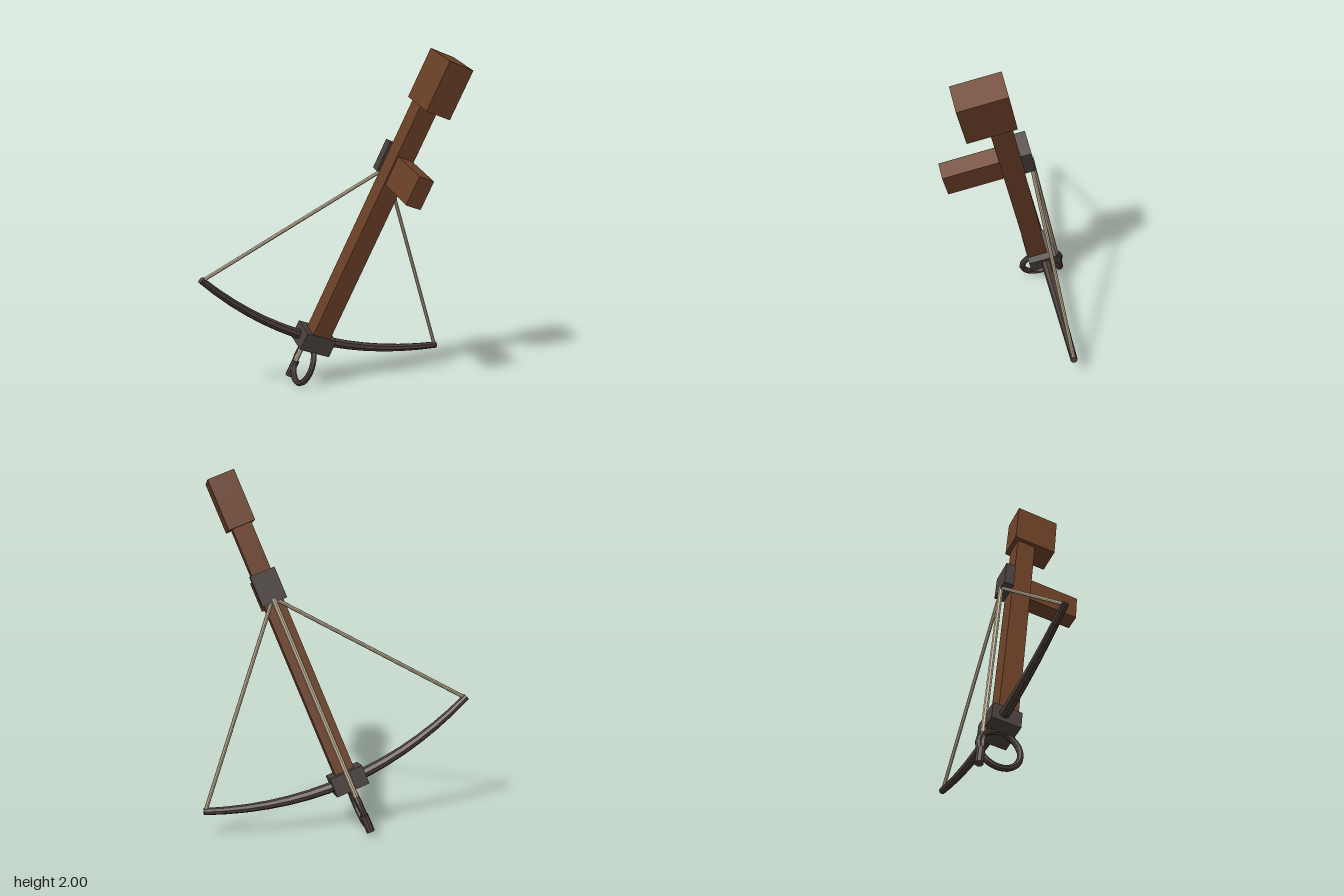
import * as THREE from 'three';

const flat = (name, color) => {
  const m = new THREE.MeshStandardMaterial({ color });
  m.name = name;
  m.flatShading = true;
  return m;
};

export function createModel() {
  const wood = flat('brown wood', 0x6b4027);
  const iron = flat('dark iron', 0x48403c);
  const limbMat = flat('dark brown limb', 0x4a3d38);
  const cord = flat('pale cord', 0xc4b498);

  const model = new THREE.Group();
  model.name = 'crossbow';

  // Leaning frame: x across the bow, y along the stock to the butt, z towards the grip
  const lean = new THREE.Group();
  lean.name = 'leaningCrossbow';
  const zAxis = new THREE.Vector3(-0.13, -0.224, 0.966).normalize();
  const yAxis = new THREE.Vector3().crossVectors(zAxis, new THREE.Vector3(0.9363, -0.348, 0.0455)).normalize();
  const xAxis = new THREE.Vector3().crossVectors(yAxis, zAxis);
  lean.quaternion.setFromRotationMatrix(new THREE.Matrix4().makeBasis(xAxis, yAxis, zAxis));
  lean.position.copy(xAxis).multiplyScalar(-0.158);
  model.add(lean);

  const add = (name, geo, mat, parent = lean) => {
    const mesh = new THREE.Mesh(geo, mat);
    mesh.name = name;
    parent.add(mesh);
    return mesh;
  };

  // Box centred across the stock, given its y and z ranges
  const block = (name, width, y0, y1, z0, z1, mat) =>
    add(name, new THREE.BoxGeometry(width, y1 - y0, z1 - z0), mat)
      .position.set(0, (y0 + y1) / 2, (z0 + z1) / 2);

  // Round bar between two points
  const rod = (name, a, b, ra, rb, mat, parent) => {
    const dir = b.clone().sub(a);
    const mesh = add(name, new THREE.CylinderGeometry(rb, ra, dir.length(), 8), mat, parent);
    mesh.position.copy(a).lerp(b, 0.5);
    mesh.quaternion.setFromUnitVectors(new THREE.Vector3(0, 1, 0), dir.normalize());
  };
  const v = (x, y, z) => new THREE.Vector3(x, y, z);

  // Wooden body
  block('stock', 0.114, 0.17, 1.75, -0.336, -0.22, wood);
  block('butt', 0.157, 1.718, 2.019, -0.36, -0.094, wood);
  block('grip', 0.096, 1.226, 1.402, -0.24, 0.09, wood);

  // Iron fittings
  block('bowMount', 0.196, 0.122, 0.232, -0.385, -0.214, iron);
  block('stringCatch', 0.146, 1.258, 1.44, -0.396, -0.336, iron);

  // Foot stirrup
  const stirrup = add('stirrup', new THREE.TorusGeometry(0.12, 0.018, 8, 24), limbMat);
  stirrup.rotation.y = Math.PI / 2;
  stirrup.position.set(0, 0.014, -0.286);

  // Curved, tapering limbs and the drawn string on both sides
  const steps = 7;
  const limbPoint = (t, side) => v(side * 0.808 * t, 0.174 + 0.166 * t * t, -0.315);
  const radius = (t) => 0.032 - 0.012 * t;
  for (const side of [-1, 1]) {
    const limb = new THREE.Group();
    limb.name = side > 0 ? 'leftLimb' : 'rightLimb';
    lean.add(limb);
    for (let i = 0; i < steps; i++) {
      const t0 = i / steps, t1 = (i + 1) / steps;
      rod('limbSegment', limbPoint(t0, side), limbPoint(t1, side), radius(t0), radius(t1), limbMat, limb);
    }
    rod(side > 0 ? 'leftString' : 'rightString', limbPoint(0.99, side), v(0, 1.285, -0.384), 0.011, 0.011, cord);
  }

  // Loaded bolt
  rod('boltShaft', v(0, -0.06, -0.388), v(0, 1.28, -0.388), 0.015, 0.015, cord);
  rod('boltHead', v(0, -0.129, -0.388), v(0, -0.025, -0.388), 0.024, 0.024, limbMat);

  return model;
}
